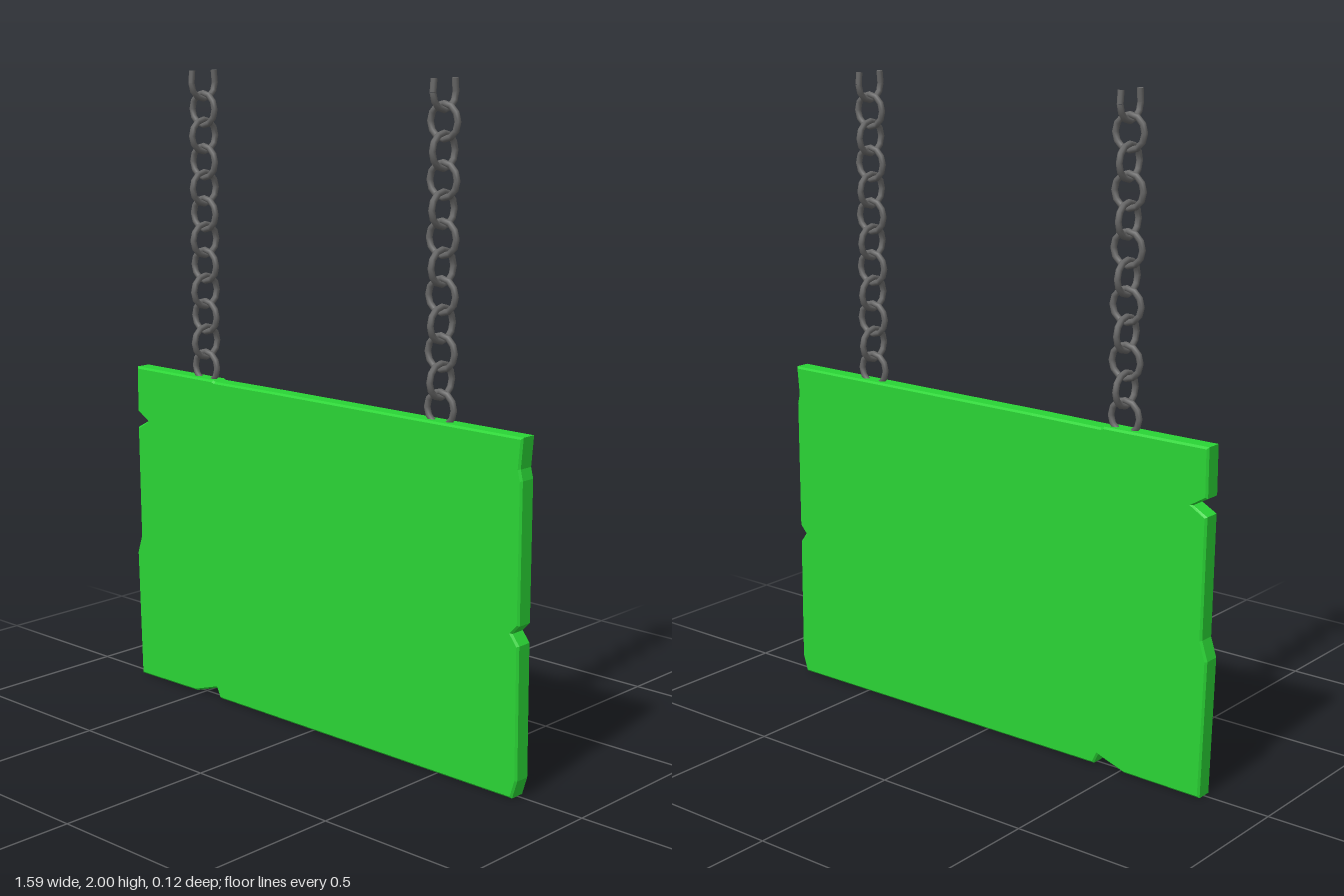
import * as THREE from 'three';

const wood = new THREE.MeshStandardMaterial({ color: 0x2ad435 });
const iron = new THREE.MeshStandardMaterial({ color: 0x666666 });

const RING = 0.049, WIRE = 0.0095, STEP = 0.0804, FIRST = 1.078, LINKS = 11;

function add(parent, name, geometry, material) {
  const mesh = new THREE.Mesh(geometry, material);
  mesh.name = name;
  parent.add(mesh);
  return mesh;
}

// Board with chipped edges and a narrow bevel
function createBoard() {
  const outline = [
    [-0.785, 0.0], [-0.52, 0.003], [-0.425, 0.034], [-0.41, 0.003], [0.776, 0.0],
    [0.793, 0.055], [0.79, 0.452], [0.766, 0.484], [0.79, 0.51], [0.79, 0.923],
    [0.782, 0.955], [0.79, 1.045], [-0.17, 1.043], [-0.42, 1.041], [-0.43, 1.045],
    [-0.785, 1.045], [-0.785, 0.897], [-0.737, 0.87], [-0.785, 0.844],
    [-0.779, 0.479], [-0.798, 0.42],
  ].map(([x, y]) => new THREE.Vector2(x, y));
  const bevel = 0.006;
  const geometry = new THREE.ExtrudeGeometry(new THREE.Shape(outline), {
    depth: 0.058 - 2 * bevel, bevelEnabled: true, bevelSegments: 1,
    bevelThickness: bevel, bevelSize: bevel, bevelOffset: -bevel,
  });
  geometry.translate(0, 0, -0.028 + bevel);
  return geometry;
}

// Chain of rings, each turned a quarter from the one below
function createChain(x) {
  const chain = new THREE.Group();
  chain.name = 'chain';
  chain.position.x = x;
  const ring = new THREE.TorusGeometry(RING, WIRE, 8, 12);
  for (let i = 0; i < LINKS; i++) {
    const link = add(chain, i ? 'chainLink' : 'boardLoop', ring, iron);
    link.position.y = FIRST + i * STEP;
    link.rotation.y = (i % 2) * Math.PI / 2;
  }

  // Open top link: half ring with two upright ends
  const top = new THREE.Group();
  top.name = 'openTopLink';
  top.position.y = FIRST + LINKS * STEP;
  top.rotation.y = Math.PI / 2;
  const half = add(top, 'halfRing', new THREE.TorusGeometry(RING, WIRE, 8, 6, Math.PI), iron);
  half.rotation.z = Math.PI;
  const rise = 2 - top.position.y;
  for (const side of [-1, 1]) {
    const end = add(top, 'linkEnd', new THREE.CylinderGeometry(WIRE, WIRE, rise, 8), iron);
    end.position.set(side * (RING - 0.002), rise / 2, 0);
    end.rotation.z = side * 0.1;
  }
  chain.add(top);
  return chain;
}

export function createModel() {
  const model = new THREE.Group();
  model.name = 'hangingSign';
  add(model, 'board', createBoard(), wood);
  model.add(createChain(-0.486), createChain(0.475));
  return model;
}
